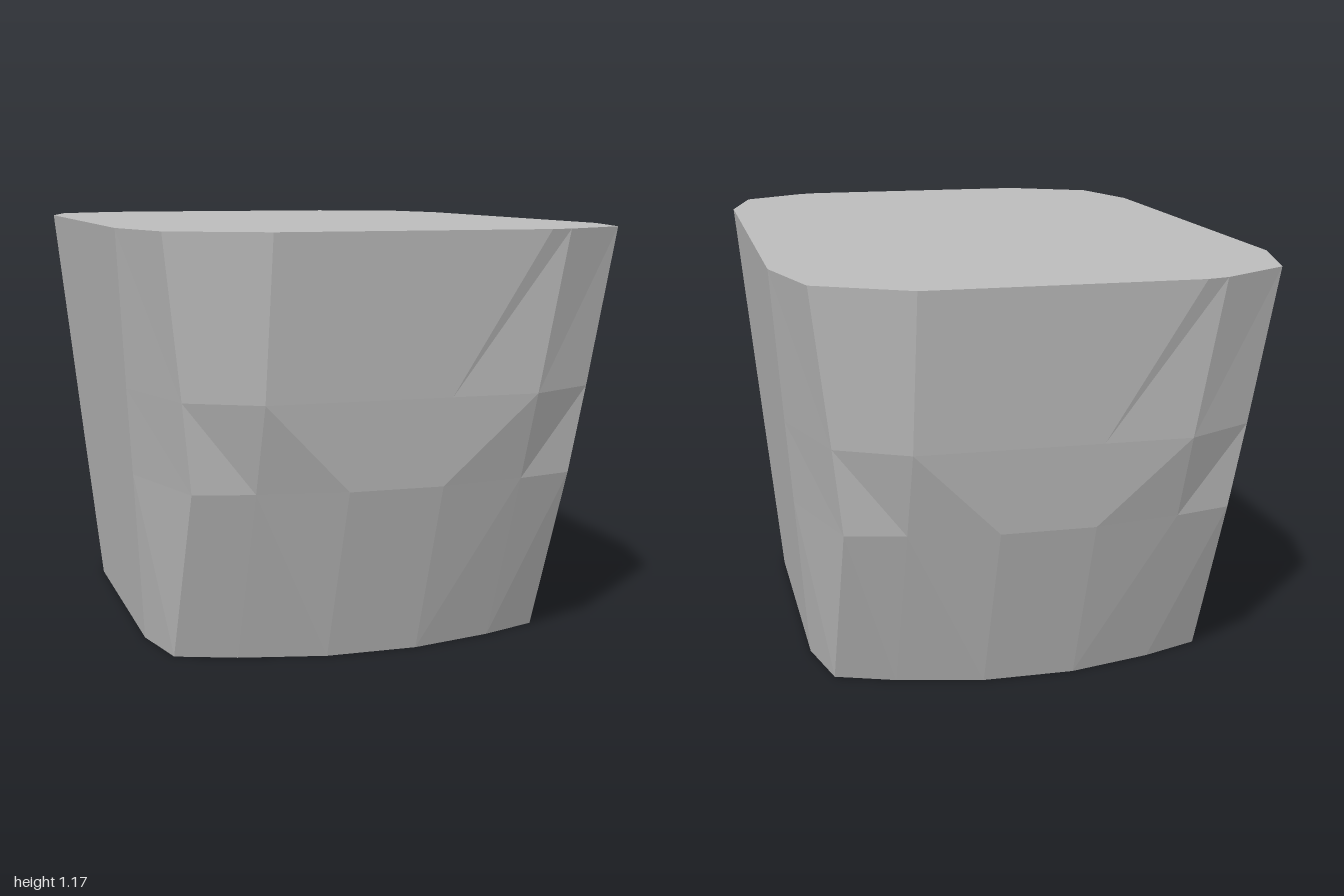
import * as THREE from 'three';

// Each level: height, then points [x, z] from the left side across the front to the right side
const levels = [
  { y: 0, half: [[0.58, 0.37], [0.535, 0.56], [0.37, 0.62], [0.13, 0.675], [-0.13, 0.675], [-0.37, 0.62], [-0.535, 0.56], [-0.58, 0.37]] },
  { y: 0.5, half: [[0.625, 0.475], [0.53, 0.785], [0.37, 0.825], [0.13, 0.865], [-0.13, 0.865], [-0.37, 0.825], [-0.53, 0.785], [-0.625, 0.475]] },
  { y: 0.745, half: [[0.647, 0.52], [0.56, 0.82], [0.37, 0.92], [0.13, 0.92], [-0.13, 0.92], [-0.37, 0.92], [-0.56, 0.82], [-0.647, 0.52]] },
  { y: 1.175, half: [[0.685, 0.61], [0.615, 0.868], [0.42, 0.985], [0.36, 1], [-0.13, 1], [-0.37, 1], [-0.615, 0.868], [-0.685, 0.61]] },
];

// The back half is the front half turned by 180 degrees
const rings = levels.map(({ y, half }) => [
  ...half.map(([x, z]) => [x, y, z]),
  ...half.map(([x, z]) => [-x, y, -z]),
]);

function facetedMesh(name, triangles, material) {
  const geometry = new THREE.BufferGeometry();
  geometry.setAttribute('position', new THREE.Float32BufferAttribute(triangles.flat(2), 3));
  geometry.computeVertexNormals();
  const mesh = new THREE.Mesh(geometry, material);
  mesh.name = name;
  return mesh;
}

// Side walls, with the diagonals mirrored about the centre line
function wallTriangles() {
  const out = [];
  for (let k = 0; k < rings.length - 1; k++) {
    const low = rings[k], high = rings[k + 1], n = low.length;
    for (let i = 0; i < n; i++) {
      const j = (i + 1) % n;
      const a = low[i], b = low[j], c = high[j], d = high[i];
      if (i % 8 < 4) out.push([a, d, b], [b, d, c]);
      else out.push([a, d, c], [a, c, b]);
    }
  }
  return out;
}

// Flat cap fanned from the centre
function capTriangles(ring, up) {
  const centre = [0, ring[0][1], 0];
  return ring.map((p, i) => {
    const q = ring[(i + 1) % ring.length];
    return up ? [centre, q, p] : [centre, p, q];
  });
}

export function createModel() {
  const grey = new THREE.MeshStandardMaterial({ color: 0xbcbcbc });
  grey.name = 'plain grey';
  grey.flatShading = true;

  const model = new THREE.Group();
  model.name = 'taperedBlock';
  model.add(
    facetedMesh('walls', wallTriangles(), grey),
    facetedMesh('top', capTriangles(rings[rings.length - 1], true), grey),
    facetedMesh('base', capTriangles(rings[0], false), grey),
  );
  return model;
}
